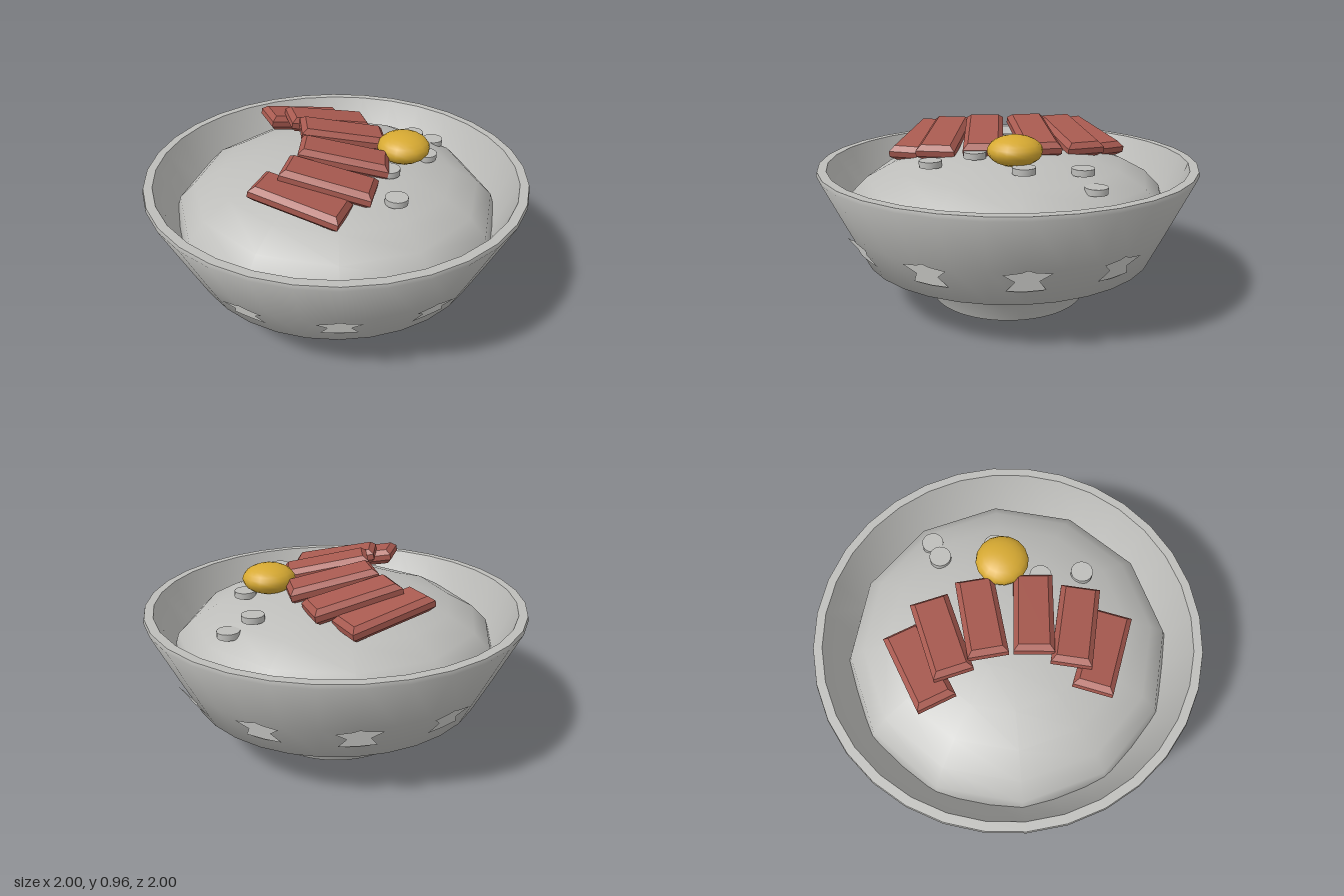
import * as THREE from 'three';
import { toCreasedNormals } from 'three/addons/utils/BufferGeometryUtils.js';

const material = (name, color) => {
  const m = new THREE.MeshStandardMaterial({ color });
  m.name = name;
  return m;
};
const v2 = (pairs) => pairs.map(([x, y]) => new THREE.Vector2(x, y));

export function createModel() {
  const group = new THREE.Group();
  const grey = material('greyCeramic', 0xbdbdba);
  const red = material('meatRed', 0xa85a50);
  const gold = material('yolkGold', 0xd6a932);

  const add = (name, geometry, mat, x = 0, y = 0, z = 0) => {
    const mesh = new THREE.Mesh(geometry, mat);
    mesh.name = name;
    mesh.position.set(x, y, z);
    group.add(mesh);
    return mesh;
  };

  // Bowl shell: outer wall, bevelled rim, inner wall
  const bowl = new THREE.LatheGeometry(v2([
    [0.44, 0.115], [0.51, 0.145], [0.78, 0.26], [0.875, 0.46], [1, 0.73],
    [0.995, 0.75], [0.95, 0.75], [0.84, 0.49], [0.7, 0.3], [0, 0.24],
  ]), 32);
  add('bowl', toCreasedNormals(bowl, 0.8), grey);

  // Flared foot whose upper edge is scalloped against the bowl
  const foot = new THREE.LatheGeometry(v2([[0.42, 0], [0.462, 0.1], [0.5, 0.14]]), 120);
  const fp = foot.attributes.position;
  for (let i = 0; i < fp.count; i++) {
    if (fp.getY(i) < 0.12) continue;
    const a = Math.atan2(fp.getX(i), fp.getZ(i));
    const r = 0.505 + 0.03 * Math.abs(Math.sin(a * 10));
    fp.setXYZ(i, Math.sin(a) * r, 0.138 + (r - 0.51) * 0.426, Math.cos(a) * r);
  }
  add('foot', foot, grey);
  const base = new THREE.CircleGeometry(0.42, 32);
  base.rotateX(Math.PI / 2);
  add('footBase', base, grey);

  // Twelve star-like relief plates following the slope of the wall
  const half = [[0.03, 0.466], [0.11, 0.456], [0.055, 0.41], [0.09, 0.352]];
  const outline = [[0, 0.48], ...half, [0, 0.345], ...half.map(([x, y]) => [-x, y]).reverse()];
  const star = new THREE.ShapeGeometry(new THREE.Shape(v2(outline)));
  const sp = star.attributes.position;
  for (let i = 0; i < sp.count; i++) {
    const y = sp.getY(i);
    const wall = y < 0.46 ? 0.78 + (y - 0.26) * 0.475 : 0.875 + (y - 0.46) * 0.46;
    sp.setZ(i, wall + 0.004 + Math.max(0, y - 0.34) * 0.13);
    star.attributes.normal.setXYZ(i, 0, 0, 1);
  }
  for (let i = 0; i < 12; i++) add('wallRelief', star, grey).rotation.y = i * Math.PI / 6;

  // Mounded filling
  const dome = new THREE.SphereGeometry(0.87, 12, 6, 0, Math.PI * 2, 0, Math.PI / 2);
  dome.scale(1, 0.36 / 0.87, 1);
  add('riceMound', dome, grey, 0, 0.49, 0);

  // Chamfered meat slices, mirrored front to back
  const bevel = 0.025, L = 0.455 / 2 - bevel, W = 0.2 / 2 - bevel;
  const slice = new THREE.ExtrudeGeometry(
    new THREE.Shape(v2([[-L, -W], [L, -W], [L, W], [-L, W]])),
    { depth: 0.03, bevelEnabled: true, bevelSegments: 1, bevelSize: bevel, bevelThickness: bevel },
  );
  slice.center();
  slice.rotateX(-Math.PI / 2);
  for (const side of [1, -1]) {
    for (const [x, y, z, yaw] of [
      [0.037, 0.887, 0.13, 0.09], [-0.04, 0.867, 0.335, 0.24], [-0.175, 0.832, 0.455, 0.38],
    ]) {
      add('meatSlice', slice, red, x, y, side * z).rotation.set(0, -side * yaw, -0.19);
    }
  }

  // Flattened yolk
  const yolk = new THREE.SphereGeometry(0.137, 16, 12);
  yolk.scale(1, 0.55, 1);
  add('yolk', yolk, gold, 0.35, 0.875, 0);

  // Small garnish discs
  const disc = toCreasedNormals(new THREE.CylinderGeometry(0.057, 0.057, 0.032, 16), 0.8);
  for (const [x, y, z] of [
    [0.44, 0.787, -0.32], [0.56, 0.725, -0.36], [0.475, 0.807, -0.03],
    [0.26, 0.838, 0.19], [0.28, 0.803, 0.41],
  ]) add('garnish', disc, grey, x, y, z);

  return group;
}
